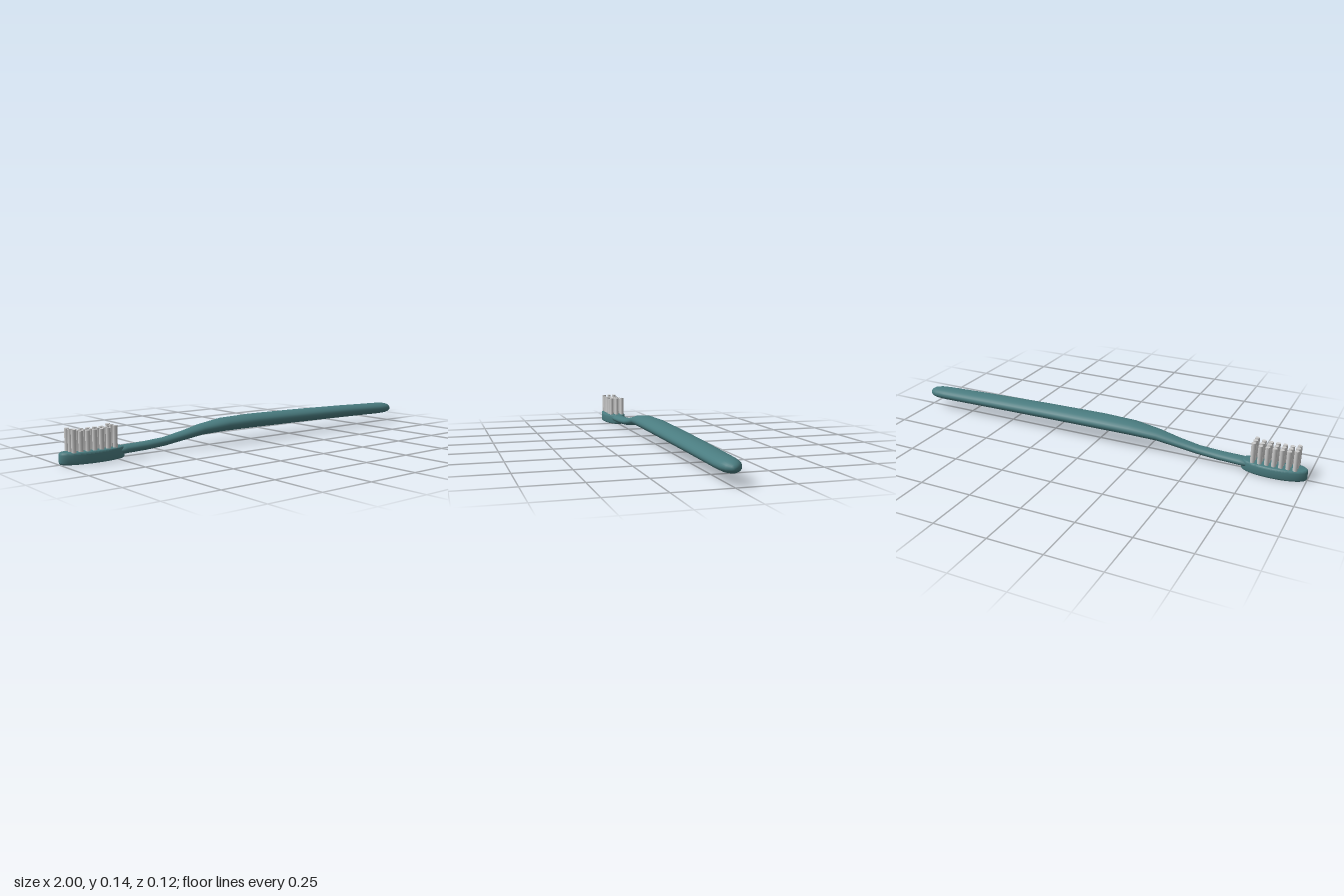
import * as THREE from 'three';
import { toCreasedNormals } from 'three/addons/utils/BufferGeometryUtils.js';

// Closed loft of elliptical sections along x: [x, centreY, halfHeight, halfWidth]
function loft(sections, sides) {
  const pos = [], idx = [];
  for (const [x, y, h, w] of sections) {
    for (let j = 0; j < sides; j++) {
      const a = (j / sides) * Math.PI * 2;
      pos.push(x, y + h * Math.sin(a), w * Math.cos(a));
    }
  }
  for (let i = 0; i < sections.length - 1; i++) {
    for (let j = 0; j < sides; j++) {
      const k = (j + 1) % sides;
      const a = i * sides + j, b = a + sides, c = i * sides + k, d = c + sides;
      idx.push(a, b, c, b, d, c);
    }
  }
  // end caps
  const last = sections.length - 1;
  const start = pos.length / 3;
  pos.push(sections[0][0], sections[0][1], 0, sections[last][0], sections[last][1], 0);
  for (let j = 0; j < sides; j++) {
    const k = (j + 1) % sides;
    idx.push(start, j, k, start + 1, last * sides + k, last * sides + j);
  }
  const g = new THREE.BufferGeometry();
  g.setAttribute('position', new THREE.Float32BufferAttribute(pos, 3));
  g.setIndex(idx);
  g.computeVertexNormals();
  return g;
}

export function createModel() {
  const group = new THREE.Group();
  const plastic = new THREE.MeshStandardMaterial({ color: 0x4a7c80 });
  const bristleMat = new THREE.MeshStandardMaterial({ color: 0xcccccc });

  // Handle and neck
  const handle = new THREE.Mesh(loft([
    [-0.74, 0.031, 0.017, 0.036],
    [-0.70, 0.032, 0.019, 0.034],
    [-0.60, 0.035, 0.019, 0.031],
    [-0.50, 0.042, 0.019, 0.028],
    [-0.40, 0.058, 0.021, 0.032],
    [-0.30, 0.076, 0.025, 0.040],
    [-0.17, 0.087, 0.031, 0.056],
    [0.00, 0.089, 0.033, 0.060],
    [0.30, 0.086, 0.0325, 0.058],
    [0.60, 0.081, 0.031, 0.055],
    [0.90, 0.074, 0.029, 0.050],
    [0.95, 0.073, 0.027, 0.045],
    [0.98, 0.072, 0.022, 0.033],
    [0.995, 0.071, 0.014, 0.018],
    [1.00, 0.070, 0.007, 0.008],
  ], 28), plastic);
  handle.name = 'handle';
  group.add(handle);

  // Oval head with rounded rims
  const bevel = 0.008, height = 0.05;
  const oval = new THREE.Shape();
  oval.absellipse(0, 0, 0.148 - bevel, 0.058 - bevel, 0, Math.PI * 2);
  const headGeo = new THREE.ExtrudeGeometry(oval, {
    depth: height - 2 * bevel, curveSegments: 24,
    bevelEnabled: true, bevelSize: bevel, bevelThickness: bevel, bevelSegments: 3,
  });
  headGeo.rotateX(-Math.PI / 2).translate(-0.852, bevel, 0);
  const head = new THREE.Mesh(toCreasedNormals(headGeo, 0.7), plastic);
  head.name = 'head';
  group.add(head);

  // Bristle tufts, the end columns standing taller
  const bristles = new THREE.Group();
  bristles.name = 'bristles';
  const columns = 7, base = 0.045;
  for (let i = 0; i < columns; i++) {
    const top = i === 0 || i === columns - 1 ? 0.144 : 0.136;
    const geo = new THREE.CylinderGeometry(0.0105, 0.0105, top - base, 10);
    for (const z of [-0.03, 0, 0.03]) {
      const tuft = new THREE.Mesh(geo, bristleMat);
      tuft.name = 'bristleTuft';
      tuft.position.set(-0.949 + i * 0.0315, (top + base) / 2, z);
      bristles.add(tuft);
    }
  }
  group.add(bristles);
  return group;
}
